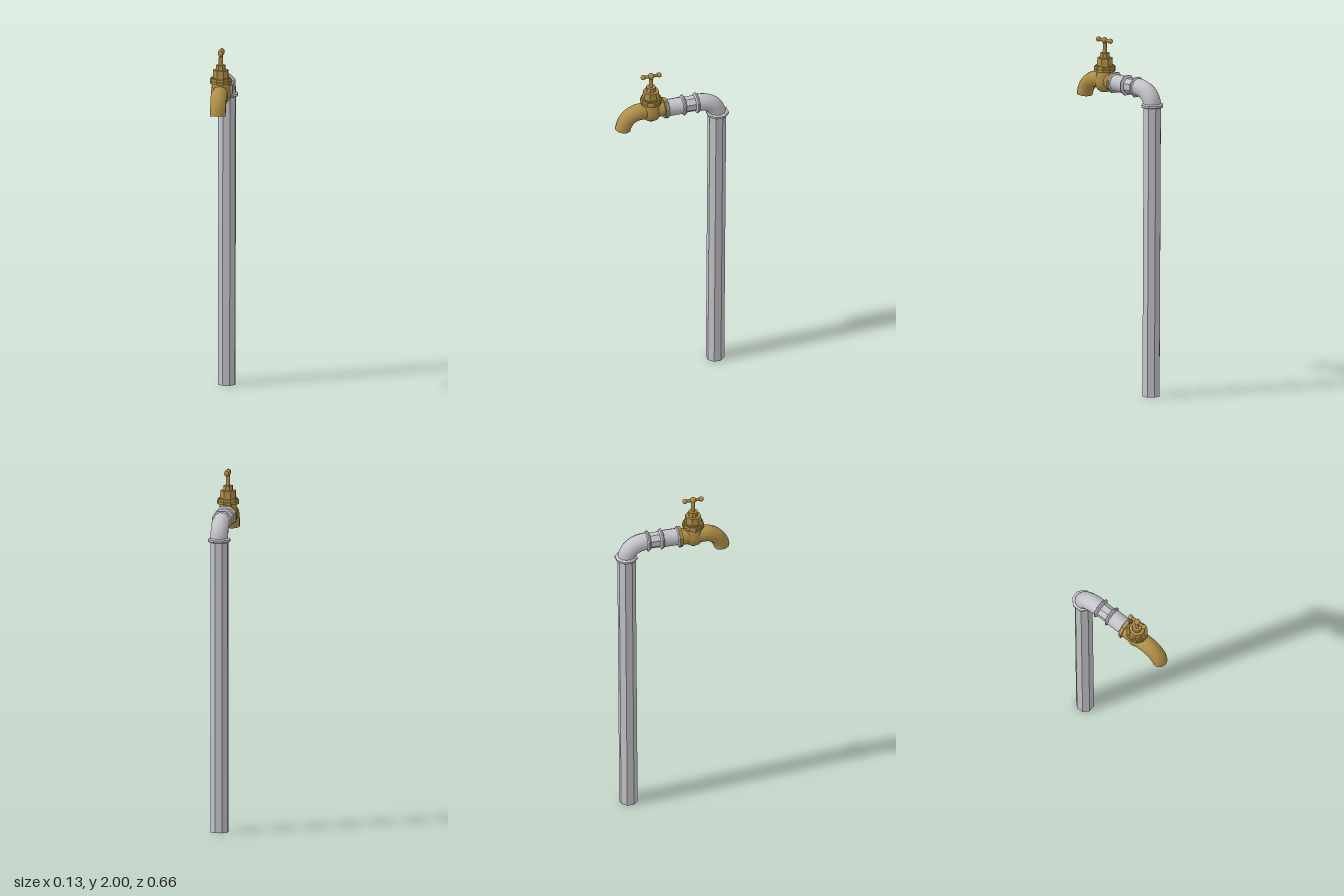
import * as THREE from 'three';

const steel = new THREE.MeshStandardMaterial({ color: 0xc4c4ca });
steel.name = 'galvanised steel';
const brass = new THREE.MeshStandardMaterial({ color: 0xb08f48 });
brass.name = 'brass';

// Sweeps a polygon through stations [z, y, pitch, radius] in the plane x = offset.
function sweep(stations, { sides = 8, flat = false, turn = Math.PI / 8, x = 0, caps = true } = {}) {
  const pos = [], idx = [];
  const ring = ([z, y, pitch, r]) => {
    for (let j = 0; j < sides; j++) {
      const a = turn + (j / sides) * Math.PI * 2;
      const n = r * Math.sin(a);
      pos.push(x + r * Math.cos(a), y + n * Math.cos(pitch), z - n * Math.sin(pitch));
    }
  };
  stations.forEach(ring);
  for (let i = 0; i < stations.length - 1; i++) {
    for (let j = 0; j < sides; j++) {
      const k = (j + 1) % sides;
      const a = i * sides + j, b = i * sides + k, c = b + sides, d = a + sides;
      idx.push(a, b, c, a, c, d);
    }
  }
  // separate cap rings keep the rims sharp
  if (caps) {
    [stations[0], stations[stations.length - 1]].forEach((s, end) => {
      const o = pos.length / 3;
      ring(s);
      for (let j = 1; j < sides - 1; j++) {
        if (end) idx.push(o, o + j, o + j + 1);
        else idx.push(o, o + j + 1, o + j);
      }
    });
  }
  let g = new THREE.BufferGeometry();
  g.setAttribute('position', new THREE.Float32BufferAttribute(pos, 3));
  g.setIndex(idx);
  if (flat) g = g.toNonIndexed();
  g.computeVertexNormals();
  return g;
}

// Stations of a straight run along z, from [z, radius] pairs.
const alongZ = (pairs, y = 1.75) => pairs.map(([z, r]) => [z, y, 0, r]);

export function createModel() {
  const model = new THREE.Group();
  model.name = 'standpipeTap';
  const add = (name, geometry, material) => {
    const m = new THREE.Mesh(geometry, material);
    m.name = name;
    model.add(m);
    return m;
  };
  const UP = Math.PI / 2;

  // Upright pipe, leaning very slightly back
  add('uprightPipe', sweep([[-0.253, 0, UP, 0.052], [-0.264, 1.665, UP, 0.052]], { flat: true, x: 0.002 }), steel);
  add('uprightCollar', sweep([
    [-0.266, 1.65, UP, 0.054], [-0.266, 1.655, UP, 0.065],
    [-0.266, 1.667, UP, 0.065], [-0.266, 1.673, UP, 0.054],
  ], { flat: true, x: 0.003 }), steel);

  // Elbow bending from the upright to the horizontal run
  const bend = [];
  for (let i = 0; i <= 10; i++) {
    const t = (i / 10) * UP;
    bend.push([-0.157 - 0.107 * Math.cos(t), 1.66 + 0.09 * Math.sin(t), UP - t, 0.05]);
  }
  bend.push([-0.135, 1.75, 0, 0.05]);
  add('elbow', sweep(bend, { sides: 12, turn: Math.PI / 12, x: 0.003 }), steel);

  // Horizontal run: coupling nut, pipe and beaded collars
  add('couplingNut', sweep(alongZ([[-0.14, 0.046], [-0.06, 0.046]]), { flat: true, x: 0.003 }), steel);
  add('horizontalPipe', sweep(alongZ([[-0.07, 0.049], [0.04, 0.049]]), { sides: 12, turn: Math.PI / 12, x: 0.003 }), steel);
  for (const z of [-0.142, -0.064, 0.036]) {
    add('pipeCollar', sweep(alongZ([
      [z - 0.011, 0.049], [z - 0.004, 0.06], [z + 0.004, 0.06], [z + 0.011, 0.049],
    ]), { flat: true, x: 0.003 }), steel);
  }

  // Brass inlet flange
  add('inletFlange', sweep(alongZ([[0.035, 0.061], [0.051, 0.061]]), { flat: true, x: -0.004 }), brass);

  // Spout: straight barrel, downward bend, lip and hollow mouth
  const spout = [[0.045, 1.75, 0, 0.047], [0.12, 1.75, 0, 0.047]];
  const drop = THREE.MathUtils.degToRad(82);
  for (let i = 0; i <= 9; i++) {
    const t = (i / 9) * drop;
    spout.push([0.188 + 0.1 * Math.sin(t), 1.635 + 0.115 * Math.cos(t), -t, 0.047 - 0.002 * (i / 9)]);
  }
  const end = spout[spout.length - 1];
  add('spout', sweep(spout, { sides: 10, turn: Math.PI / 10, x: -0.005, caps: false }), brass);
  const inside = [end[0] - 0.004, end[1] + 0.028, end[2]];
  add('spoutMouth', sweep([
    end, [end[0], end[1], end[2], 0.034], [...inside, 0.032], [...inside, 0.001],
  ], { sides: 10, turn: Math.PI / 10, x: -0.005, flat: true, caps: false }), brass);

  // Rounded valve chamber
  const chamber = [[0, 1.687], [0.026, 1.69], [0.045, 1.705], [0.055, 1.73], [0.056, 1.755], [0.05, 1.78], [0.046, 1.815]];
  add('valveChamber', new THREE.LatheGeometry(chamber.map(([r, y]) => new THREE.Vector2(r, y)), 12), brass)
    .position.set(-0.002, 0, 0.122);

  // Stepped bonnet, gland and stem: [name, bottom, top, lower radius, upper radius, sides]
  const steps = [
    ['bonnetFlange', 1.806, 1.82, 0.062, 0.062, 10],
    ['bonnetUpperFlange', 1.822, 1.834, 0.062, 0.06, 10],
    ['bonnetNeck', 1.815, 1.84, 0.054, 0.054, 10],
    ['bonnetNut', 1.834, 1.882, 0.048, 0.045, 8],
    ['glandNut', 1.88, 1.91, 0.029, 0.027, 8],
    ['stem', 1.9, 1.985, 0.012, 0.011, 10],
  ];
  for (const [name, y0, y1, r0, r1, sides] of steps) {
    let g = new THREE.CylinderGeometry(r1, r0, y1 - y0, sides);
    g.rotateY(sides === 8 ? Math.PI / 8 : Math.PI / 2);
    if (name !== 'stem') {
      g = g.toNonIndexed();
      g.computeVertexNormals();
    }
    add(name, g, brass).position.set(-0.002, (y0 + y1) / 2, 0.122);
  }

  // T-handle with ball ends
  const handle = new THREE.Group();
  handle.name = 'handle';
  handle.position.set(0.001, 1.982, 0.122);
  const bar = new THREE.Mesh(new THREE.CylinderGeometry(0.009, 0.009, 0.094, 10).rotateX(UP), brass);
  bar.name = 'handleBar';
  handle.add(bar);
  for (const [z, r] of [[-0.047, 0.0145], [0, 0.018], [0.047, 0.0145]]) {
    const ball = new THREE.Mesh(new THREE.SphereGeometry(r, 14, 10), brass);
    ball.name = z ? 'handleEndBall' : 'handleHub';
    ball.position.z = z;
    handle.add(ball);
  }
  model.add(handle);

  return model;
}
